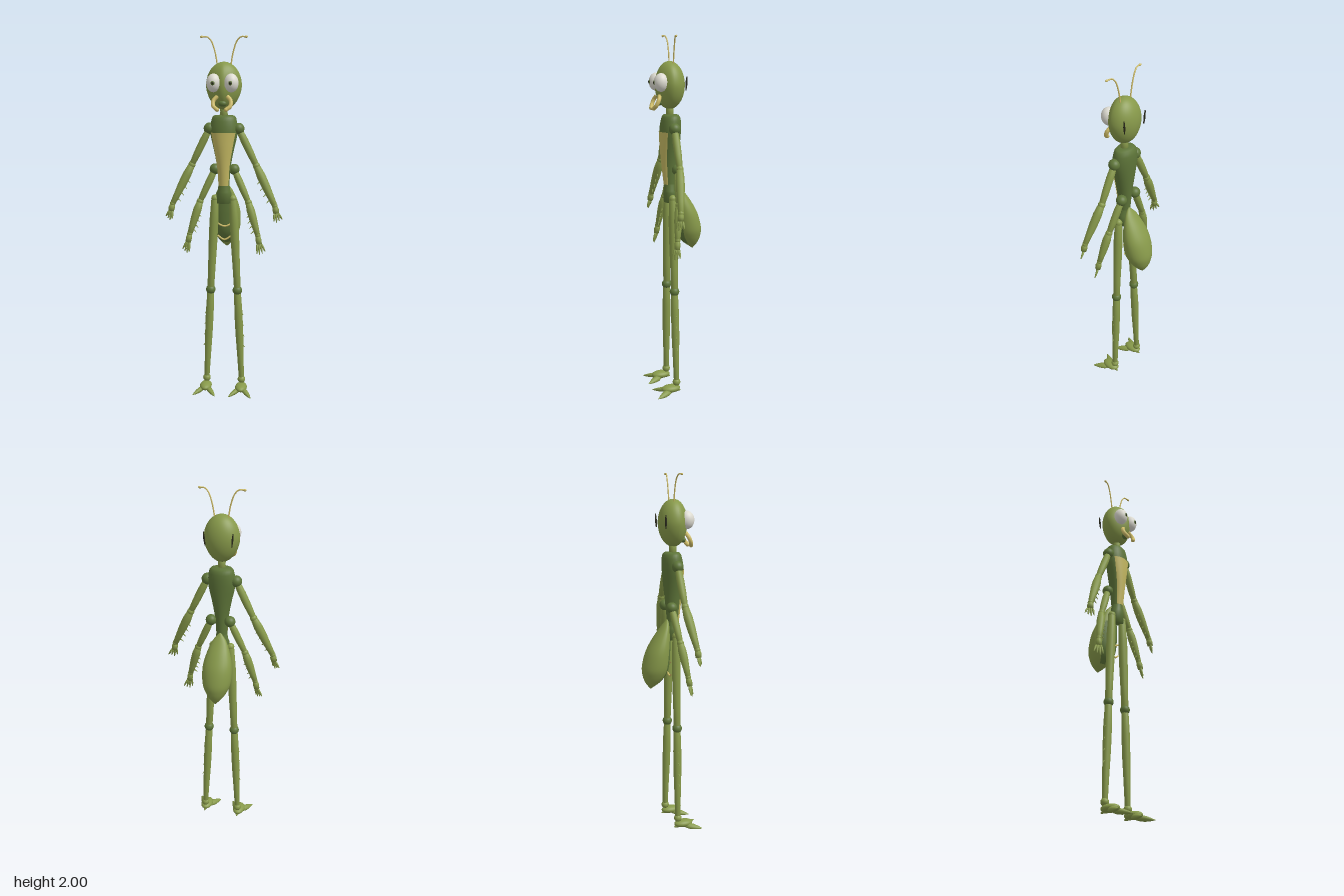
import * as THREE from 'three';
import { mergeVertices } from 'three/addons/utils/BufferGeometryUtils.js';

const mat = (name, color, side = THREE.FrontSide) => {
  const m = new THREE.MeshStandardMaterial({ color, side });
  m.name = name;
  return m;
};
const V = (x, y, z) => new THREE.Vector3(x, y, z);

export function createModel() {
  const root = new THREE.Group();
  root.name = 'mantis';
  const green = mat('leaf green', 0x87994a);
  const dark = mat('dark green', 0x5e7539, THREE.DoubleSide);
  const cream = mat('chest yellow', 0xc4b862, THREE.DoubleSide);
  const tan = mat('horn tan', 0xcfbd68);
  const white = mat('eye white', 0xdedcd2);
  const black = mat('near black', 0x2a2a1c);

  const add = (parent, name, geo, m) => {
    const mesh = new THREE.Mesh(geo, m);
    mesh.name = name;
    parent.add(mesh);
    return mesh;
  };
  const ball = (parent, name, p, r, m = green) => {
    const mesh = add(parent, name, new THREE.SphereGeometry(1, 24, 16), m);
    mesh.position.copy(p);
    Array.isArray(r) ? mesh.scale.set(...r) : mesh.scale.setScalar(r);
    return mesh;
  };
  // Lathed rod from a to b; radii are spread evenly along its length
  const limb = (parent, name, a, b, radii, m = green) => {
    const len = a.distanceTo(b);
    const pts = radii.map((r, i) => new THREE.Vector2(r, (len * i) / (radii.length - 1)));
    pts.unshift(new THREE.Vector2(0, 0));
    pts.push(new THREE.Vector2(0, len));
    const mesh = add(parent, name, new THREE.LatheGeometry(pts, 14), m);
    mesh.position.copy(a);
    mesh.quaternion.setFromUnitVectors(V(0, 1, 0), b.clone().sub(a).normalize());
    return mesh;
  };
  const tube = (parent, name, pts, r, m) =>
    add(parent, name, new THREE.TubeGeometry(new THREE.CatmullRomCurve3(pts), 20, r, 8), m);

  // Skin over elliptical sections [y, halfWidth, zFront, zBack], top to bottom;
  // half is the angle covered either side of the front
  const loft = (sections, steps = 4, half = Math.PI, grow = 0) => {
    const c1 = new THREE.CatmullRomCurve3(sections.map(s => V(s[0], s[1], 0)), false, 'catmullrom');
    const c2 = new THREE.CatmullRomCurve3(sections.map(s => V(s[2], s[3], 0)), false, 'catmullrom');
    const rows = (sections.length - 1) * steps, cols = 28, pos = [], idx = [];
    for (let i = 0; i <= rows; i++) {
      const p = c1.getPoint(i / rows), q = c2.getPoint(i / rows);
      for (let j = 0; j <= cols; j++) {
        const a = half * ((2 * j) / cols - 1);
        pos.push(Math.sin(a) * (Math.max(p.y, 0) + grow), p.x,
          (q.x + q.y) / 2 + Math.cos(a) * ((q.x - q.y) / 2 + grow));
        if (i < rows && j < cols) {
          const k = i * (cols + 1) + j, l = k + cols + 1;
          idx.push(k, l, k + 1, k + 1, l, l + 1);
        }
      }
    }
    const g = new THREE.BufferGeometry();
    g.setAttribute('position', new THREE.Float32BufferAttribute(pos, 3));
    g.setIndex(idx);
    const merged = mergeVertices(g, 1e-5);
    merged.computeVertexNormals();
    return merged;
  };

  // Head: an egg with a ridged face
  const headGeo = new THREE.SphereGeometry(1, 40, 28);
  const hp = headGeo.attributes.position;
  for (let i = 0; i < hp.count; i++) {
    const x = hp.getX(i), y = hp.getY(i), z = hp.getZ(i);
    const w = 1 - 0.1 * Math.max(0, -y);
    hp.setXYZ(i, x * 0.097 * w, y * 0.127, z > 0 ? z * 0.082 * (1 - 0.3 * Math.abs(x)) : z * 0.081);
  }
  headGeo.computeVertexNormals();
  add(root, 'head', headGeo, green).position.set(0, 1.738, 0.032);
  limb(root, 'neck', V(0, 1.56, 0.03), V(0, 1.64, 0.03), [0.022, 0.02, 0.022]);
  ball(root, 'mouth', V(0, 1.647, 0.088), [0.022, 0.016, 0.016], dark);

  // Trunk
  const chest = [
    [1.582, 0.0, 0.03, 0.03], [1.58, 0.055, 0.065, -0.015], [1.55, 0.07, 0.078, -0.028],
    [1.49, 0.076, 0.086, -0.028], [1.4, 0.056, 0.083, -0.022], [1.3, 0.037, 0.074, -0.012],
    [1.2, 0.03, 0.062, -0.002]];
  add(root, 'thorax', loft(chest, 2), dark);
  add(root, 'chestPlate', loft(chest.slice(3), 3, 1.0, 0.003), cream);
  add(root, 'pelvis', loft([
    [1.215, 0.028, 0.06, 0], [1.165, 0.036, 0.064, -0.004], [1.155, 0.043, 0.066, -0.008],
    [1.1, 0.043, 0.064, -0.008], [1.098, 0, 0.03, 0.02]], 1), dark);

  // Abdomen with its belly plate and bars
  const abdomen = [
    [1.215, 0.004, 0.004, -0.004], [1.17, 0.04, 0.006, -0.038], [1.1, 0.068, 0.008, -0.088],
    [1.03, 0.082, 0.006, -0.126], [0.95, 0.079, 0, -0.148], [0.9, 0.062, -0.018, -0.145],
    [0.86, 0.036, -0.052, -0.13], [0.825, 0.001, -0.1, -0.104]];
  add(root, 'abdomen', loft(abdomen, 6), green);
  add(root, 'bellyPlate', loft(abdomen.slice(2, 7), 6, 0.9, 0.002), dark);
  [[0.97, 0.052, 0.006], [0.895, 0.038, 0.014]].forEach(([y, w, z]) =>
    tube(root, 'bellyBar', [V(-w, y + 0.015, z - 0.006), V(0, y - 0.006, z), V(w, y + 0.015, z - 0.006)], 0.005, tan));

  // Arm: shoulder, elbow, wrist, hand tip
  const arm = (parent, name, s, e, w, tip, r, side) => {
    const g = new THREE.Group();
    g.name = name;
    parent.add(g);
    ball(g, 'shoulder', s, [r * 1.5, r * 1.5, r * 1.5], dark);
    limb(g, 'upperArm', s, e, [r * 0.8, r, r * 0.95, r * 0.75]);
    ball(g, 'elbow', e, r * 0.95);
    limb(g, 'forearm', e, w, [r * 0.85, r * 1.15, r * 1.1, r * 0.9, r * 0.7]);
    ball(g, 'wrist', w, r * 0.75);
    const palmEnd = w.clone().lerp(tip, 0.45);
    limb(g, 'palm', w, palmEnd, [r * 0.6, r * 0.85, r * 0.75]);
    for (let i = 0; i < 4; i++) {
      const o = i - 1.5;
      const knuckle = palmEnd.clone().add(V(side * o * 0.007, 0, -o * 0.006));
      const end = tip.clone().add(V(side * o * 0.014, Math.abs(o + 0.5) * 0.008, -o * 0.01));
      limb(g, 'finger', knuckle, end, [0.005, 0.006, 0.005, 0.002]);
    }
    // Thorns along the inner edge
    for (let i = 0; i < 4; i++) {
      const p = e.clone().lerp(w, 0.35 + i * 0.16).add(V(-side * r * 0.7, -r * 0.4, 0.004));
      limb(g, 'thorn', p, p.clone().add(V(-side * 0.015, -0.015, 0.006)), [0.004, 0.001]);
    }
  };

  for (const s of [1, -1]) {
    const P = (x, y, z) => V(s * x, y, z);
    const half = new THREE.Group();
    half.name = s > 0 ? 'leftSide' : 'rightSide';
    root.add(half);

    // Face
    ball(half, 'eye', P(0.047, 1.755, 0.092), [0.039, 0.049, 0.041], white).rotation.y = s * 0.25;
    ball(half, 'iris', P(0.047, 1.755, 0.13), [0.011, 0.012, 0.005], dark);
    ball(half, 'pupil', P(0.047, 1.755, 0.134), [0.006, 0.007, 0.003], black);
    const jaw = [P(0.026, 1.685, 0.095), P(0.046, 1.663, 0.105), P(0.045, 1.635, 0.118), P(0.024, 1.617, 0.128)];
    tube(half, 'mandible', jaw, 0.011, tan);
    jaw.slice(3).forEach(p => ball(half, 'mandibleTip', p, 0.011, tan));
    const slit = limb(half, 'earSlit', P(0.072, 1.712, -0.037), P(0.079, 1.785, -0.04), [0.003, 0.006, 0.003], black);
    slit.scale.x = 0.8;

    // Antenna
    tube(half, 'antenna', [P(0.036, 1.845, 0.022), P(0.05, 1.92, 0.022), P(0.07, 1.975, 0.024),
      P(0.09, 1.994, 0.028), P(0.118, 1.994, 0.033)], 0.0038, tan);
    ball(half, 'antennaTip', P(0.119, 1.994, 0.033), [0.009, 0.006, 0.006], tan);

    // Two pairs of arms
    arm(half, 'upperArmSet', P(0.08, 1.51, 0.028), P(0.178, 1.31, 0.03), P(0.283, 1.095, 0.058), P(0.303, 1.005, 0.068), 0.021, s);
    arm(half, 'lowerArmSet', P(0.053, 1.285, 0.004), P(0.135, 1.105, 0.022), P(0.19, 0.925, 0.046), P(0.211, 0.818, 0.06), 0.02, s);

    // Leg
    const hip = P(0.05, 1.125, 0.03), knee = P(0.076, 0.6, 0.028), ankle = P(0.101, 0.065, 0.024);
    ball(half, 'hip', hip, 0.021);
    limb(half, 'thigh', hip, knee, [0.02, 0.025, 0.024, 0.021, 0.019]);
    ball(half, 'knee', knee, 0.027, dark);
    limb(half, 'shin', knee, ankle, [0.019, 0.023, 0.022, 0.018, 0.015]);
    for (let i = 0; i < 4; i++) {
      const p = knee.clone().lerp(ankle, 0.25 + i * 0.12).add(P(0.018, 0, 0));
      limb(half, 'shinThorn', p, p.clone().add(P(0.01, -0.012, 0)), [0.004, 0.001]);
    }
    ball(half, 'ankle', ankle, 0.022);
    ball(half, 'foot', P(0.102, 0.03, 0.058), [0.034, 0.022, 0.055]);
    for (const t of [1, -1]) {
      const toe = limb(half, 'toe', P(0.102 + t * 0.012, 0.02, 0.065), P(0.102 + t * 0.063, 0.006, 0.15),
        [0.014, 0.019, 0.017, 0.011, 0.002]);
      toe.scale.set(1, 1, 0.75);
    }
    limb(half, 'heel', P(0.102, 0.025, 0.04), P(0.102, 0.012, 0.002), [0.018, 0.012, 0.003]);
  }
  return root;
}
